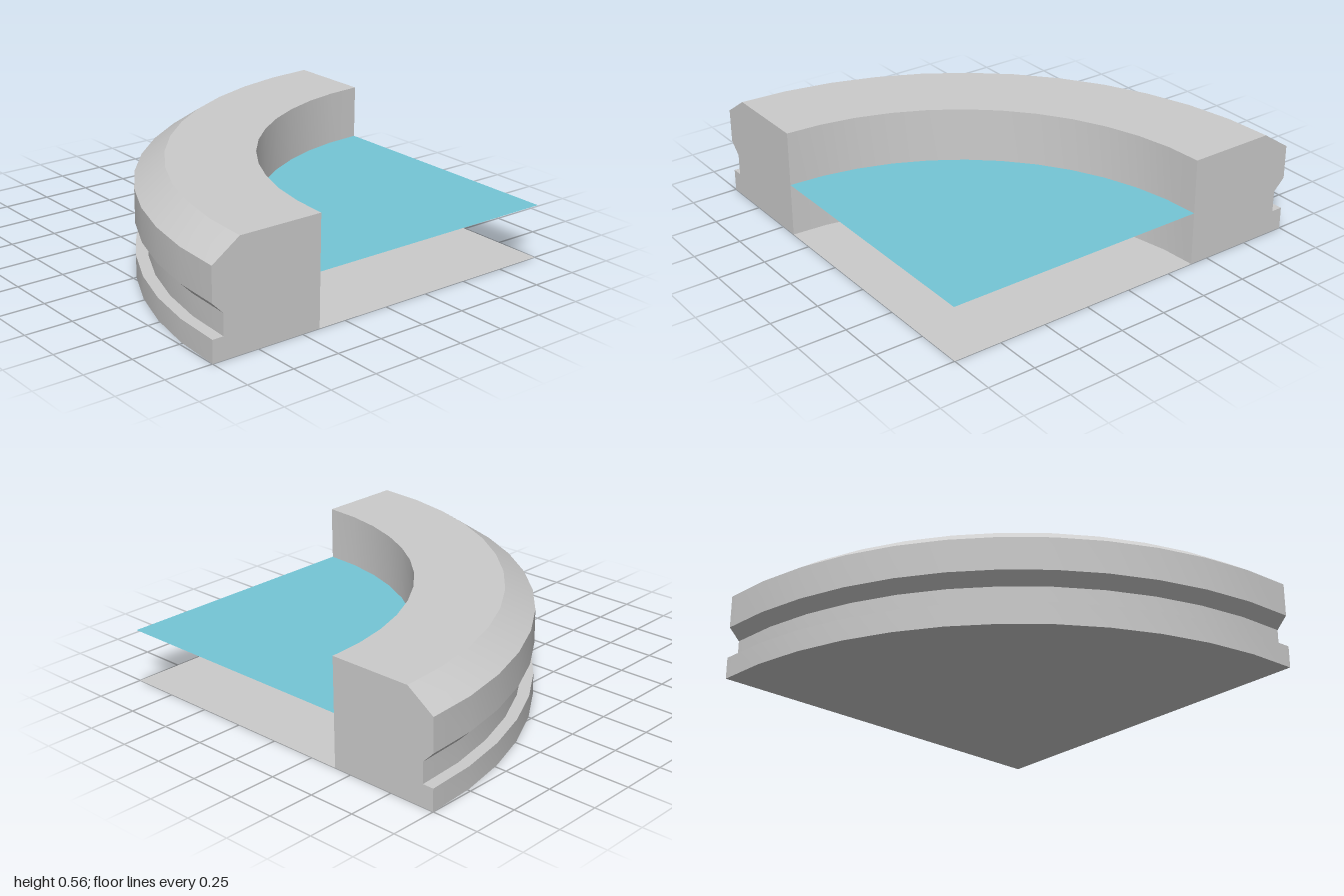
import * as THREE from 'three';
import { toCreasedNormals } from 'three/addons/utils/BufferGeometryUtils.js';

const SEGMENTS = 12;
const INNER = 1.4;

// Wall cross-section as (radius, height), counter-clockwise
const PROFILE = [
  [INNER, 0], [2, 0], [2, 0.115], [1.94, 0.115], [1.94, 0.225],
  [2, 0.285], [2, 0.46], [1.85, 0.5625], [INNER, 0.5625],
].map(([r, y]) => new THREE.Vector2(r, y));

export function createModel() {
  const group = new THREE.Group();
  const stone = new THREE.MeshStandardMaterial({ color: 0xcccccc });
  const floorStone = new THREE.MeshStandardMaterial({ color: 0xcccccc, side: THREE.DoubleSide });
  const waterBlue = new THREE.MeshStandardMaterial({ color: 0x75c6d6, side: THREE.DoubleSide });

  // The arc's centre is the front left corner
  const add = (name, geometry, material, y = 0) => {
    const mesh = new THREE.Mesh(geometry, material);
    mesh.name = name;
    mesh.position.set(1, y, 1);
    group.add(mesh);
  };

  // Quarter-ring wall with a chamfered rim and a groove outside
  const ring = new THREE.LatheGeometry([...PROFILE, PROFILE[0]], SEGMENTS, Math.PI, Math.PI / 2);
  add('curvedWall', toCreasedNormals(ring, 0.4), stone);

  // Flat cut ends of the wall
  const mirrored = PROFILE.map((p) => new THREE.Vector2(-p.x, p.y));
  add('frontWallEnd', new THREE.ShapeGeometry(new THREE.Shape(mirrored)), stone);
  add('leftWallEnd', new THREE.ShapeGeometry(new THREE.Shape(PROFILE)).rotateY(Math.PI / 2), stone);

  // Thin floor and water surface inside the wall
  const quarterDisc = () =>
    new THREE.CircleGeometry(INNER, SEGMENTS, Math.PI / 2, Math.PI / 2).rotateX(-Math.PI / 2);
  add('poolFloor', quarterDisc(), floorStone);
  add('waterSurface', quarterDisc(), waterBlue, 0.28);

  return group;
}
